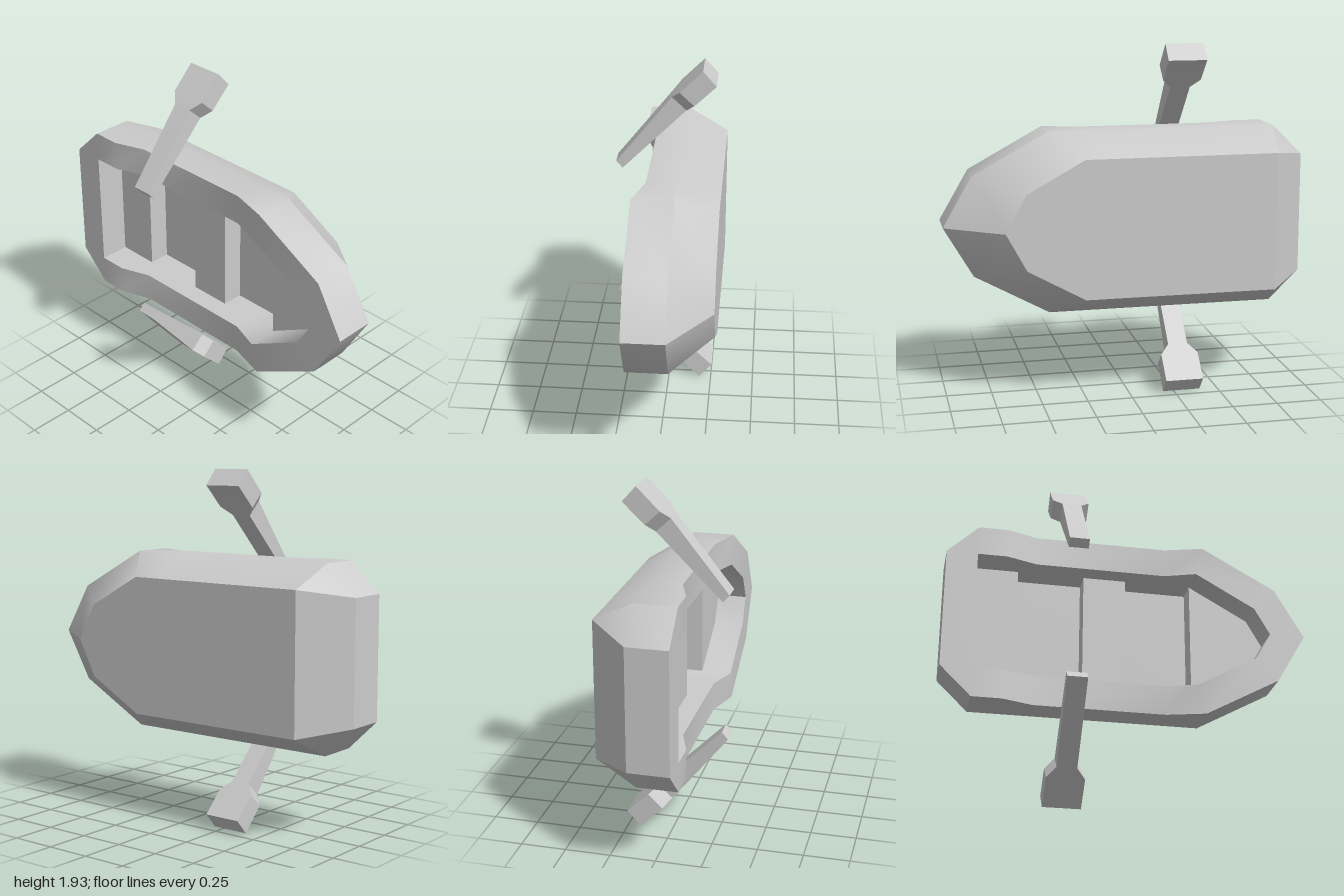
import * as THREE from 'three';
import { toCreasedNormals } from 'three/addons/utils/BufferGeometryUtils.js';

const MID = 0.967; // height of the boat's centreline
const material = new THREE.MeshStandardMaterial({ color: 0xcccccc });

// Skin consecutive closed rings of Vector3, skipping collapsed triangles.
function skin(rings, crease) {
  const pos = [];
  const tri = (a, b, c) => {
    if (a.equals(b) || b.equals(c) || c.equals(a)) return;
    for (const p of [a, b, c]) pos.push(p.x, p.y, p.z);
  };
  for (let r = 0; r < rings.length - 1; r++) {
    const A = rings[r], B = rings[r + 1], n = A.length;
    for (let i = 0; i < n; i++) {
      const j = (i + 1) % n;
      tri(A[i], A[j], B[j]);
      tri(A[i], B[j], B[i]);
    }
  }
  const g = new THREE.BufferGeometry();
  g.setAttribute('position', new THREE.Float32BufferAttribute(pos, 3));
  return toCreasedNormals(g, crease);
}

// Stations from stern to bow: [x, half width] of each line, and the rim's z
const stations = [
  { outer: [-1, 0.335], inner: [-0.83, 0.335], base: [-0.79, 0.38], z: 0.15 },
  { outer: [-0.83, 0.5], inner: [-0.83, 0.335], base: [-0.79, 0.38], z: 0.15 },
  { outer: [-0.67, 0.5], inner: [-0.67, 0.335], base: [-0.66, 0.38], z: 0.15 },
  { outer: [-0.5, 0.5], inner: [-0.5, 0.335], base: [-0.52, 0.38], z: 0.09 },
  { outer: [0.22, 0.5], inner: [0.22, 0.335], base: [0.09, 0.38], z: 0.09 },
  { outer: [0.43, 0.5], inner: [0.39, 0.335], base: [0.265, 0.38], z: 0.15 },
  { outer: [0.84, 0.275], inner: [0.72, 0.15], base: [0.58, 0.205], z: 0.15 },
  { outer: [1, 0], inner: [0.805, 0], base: [0.69, 0], z: 0.15 },
];

// Full ring along one line, mirrored across the centreline
function ring(line, z) {
  const half = (s, sign) => new THREE.Vector3(s[line][0], MID + sign * s[line][1], z ?? s.z);
  return [
    ...stations.map((s) => half(s, 1)),
    ...stations.slice(0, -1).reverse().map((s) => half(s, -1)),
  ];
}

function createHull() {
  const floorZ = -0.14, chineZ = -0.075, baseZ = -0.3;
  const centre = (z) => ring('outer').map(() => new THREE.Vector3(0, MID, z));
  return skin([
    centre(floorZ), ring('inner', floorZ), ring('inner'), ring('outer'),
    ring('outer', chineZ), ring('base', baseZ), centre(baseZ),
  ], 0.6);
}

// Bench filling the cockpit between the floor and seat level
function createBench(points) {
  const shape = new THREE.Shape(points.map(([x, y]) => new THREE.Vector2(x, y)));
  const g = new THREE.ExtrudeGeometry(shape, { depth: 0.12, bevelEnabled: false });
  return g.translate(0, MID, -0.14);
}

// Oar from four-cornered sections: [top z, top y, bottom z, bottom y, half width]
function createOar(sign) {
  const sections = [
    [0.3, 1.375, 0.265, 1.335, 0.055],
    [-0.01, 1.765, -0.09, 1.69, 0.055],
    [-0.055, 1.81, -0.135, 1.735, 0.105],
    [-0.18, 1.934, -0.255, 1.85, 0.105],
  ];
  const x = -0.295;
  const y = (v) => MID + sign * (v - MID);
  const rings = sections.map(([tz, ty, bz, by, w]) => {
    const corners = [
      new THREE.Vector3(x - w, y(ty), tz), new THREE.Vector3(x + w, y(ty), tz),
      new THREE.Vector3(x + w, y(by), bz), new THREE.Vector3(x - w, y(by), bz),
    ];
    return sign > 0 ? corners : corners.reverse();
  });
  // Close both ends at their middles
  const cap = (r) => {
    const c = r.reduce((s, p) => s.add(p), new THREE.Vector3()).multiplyScalar(0.25);
    return r.map(() => c.clone());
  };
  return skin([cap(rings[0]), ...rings, cap(rings[3])], 0.3);
}

export function createModel() {
  const model = new THREE.Group();
  model.name = 'rowingBoat';
  const add = (name, geometry) => {
    const mesh = new THREE.Mesh(geometry, material);
    mesh.name = name;
    model.add(mesh);
  };

  add('hull', createHull());

  const w = 0.335;
  const plank = (a, b) => [[a, -w], [b, -w], [b, w], [a, w]];
  add('sternBench', createBench(plank(-0.83, -0.59)));
  add('middleBench', createBench(plank(-0.22, 0.02)));
  add('bowBench', createBench([[0.39, -w], [0.72, -0.15], [0.805, 0], [0.72, 0.15], [0.39, w]]));

  add('upperOar', createOar(1));
  add('lowerOar', createOar(-1));
  return model;
}
